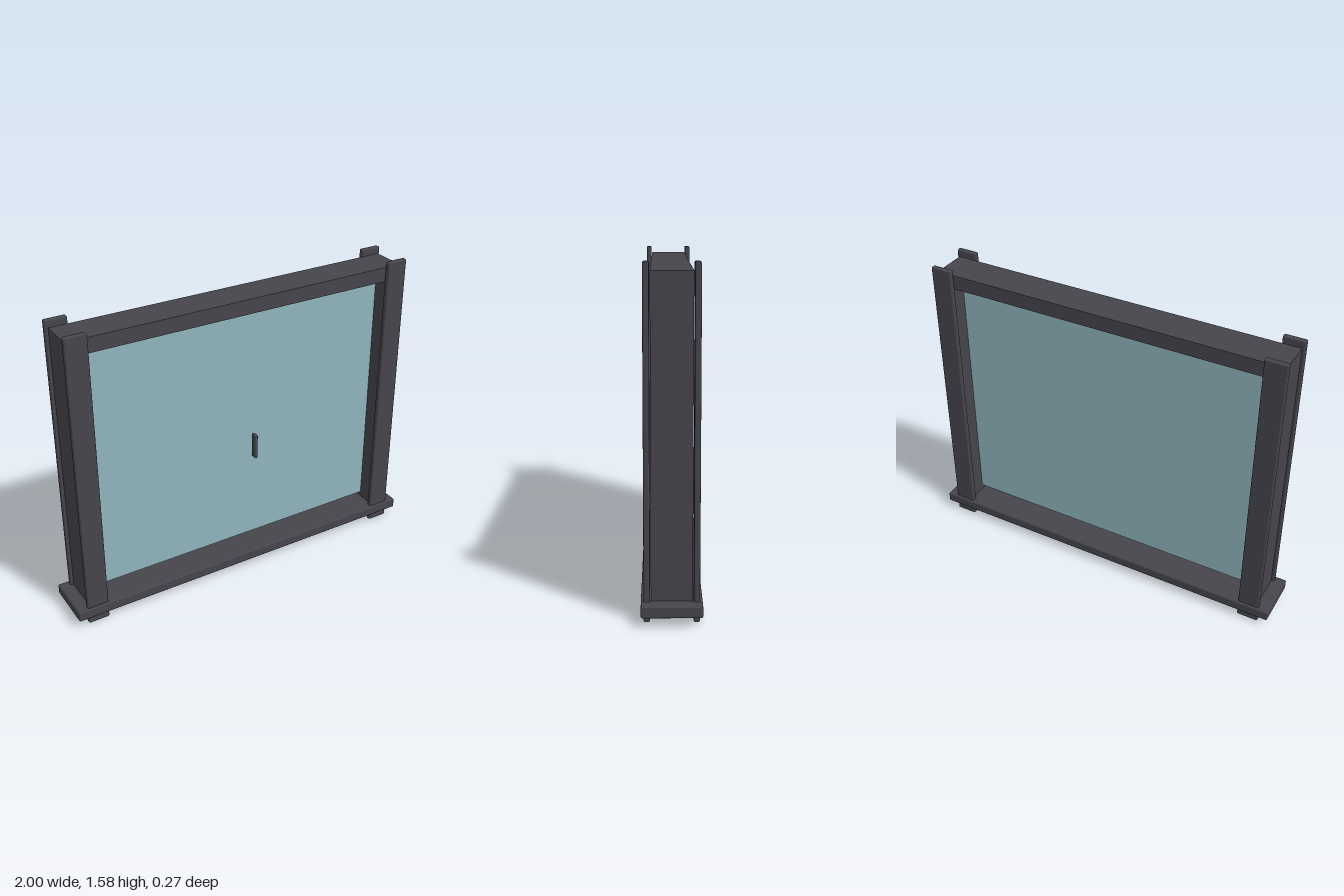
import * as THREE from 'three';
import { RoundedBoxGeometry } from 'three/addons/geometries/RoundedBoxGeometry.js';

const frameMat = new THREE.MeshStandardMaterial({ color: 0x46454d });
frameMat.name = 'charcoal frame';
const glassMat = new THREE.MeshStandardMaterial({ color: 0x8fb4bd });
glassMat.name = 'pale blue glass';

export function createModel() {
  const model = new THREE.Group();
  model.name = 'window';

  // Block given by its min and max along each axis; r rounds the edges
  function block(name, [x0, x1], [y0, y1], [z0, z1], material, r = 0) {
    const size = [x1 - x0, y1 - y0, z1 - z0];
    const geometry = r
      ? new RoundedBoxGeometry(...size, 2, r)
      : new THREE.BoxGeometry(...size);
    const mesh = new THREE.Mesh(geometry, material);
    mesh.name = name;
    mesh.position.set((x0 + x1) / 2, (y0 + y1) / 2, (z0 + z1) / 2);
    model.add(mesh);
  }

  // Sill and lintel
  block('sill', [-1, 1], [0.04, 0.095], [-0.137, 0.137], frameMat, 0.008);
  block('lintel', [-0.93, 0.93], [1.47, 1.547], [-0.093, 0.093], frameMat);

  // Side jambs, with a trim board on the front and back of each
  for (const [side, s] of [['left', 1], ['right', -1]]) {
    const span = (a, b) => (s > 0 ? [a, b] : [-b, -a]);
    block(side + 'Jamb', span(0.85, 0.93), [0.09, 1.47], [-0.093, 0.093], frameMat);
    block(side + 'FrontTrim', span(0.832, 0.945), [0, 1.582], [0.097, 0.125], frameMat, 0.007);
    block(side + 'BackTrim', span(0.832, 0.945), [0, 1.582], [-0.125, -0.097], frameMat, 0.007);
  }

  // Glass pane, leaving a slim gap above the sill
  block('glassPane', [-0.85, 0.85], [0.122, 1.47], [-0.005, 0.005], glassMat);

  // Pull handle in front of the pane
  block('handle', [0.053, 0.071], [0.65, 0.787], [0.063, 0.1], frameMat, 0.006);

  return model;
}
